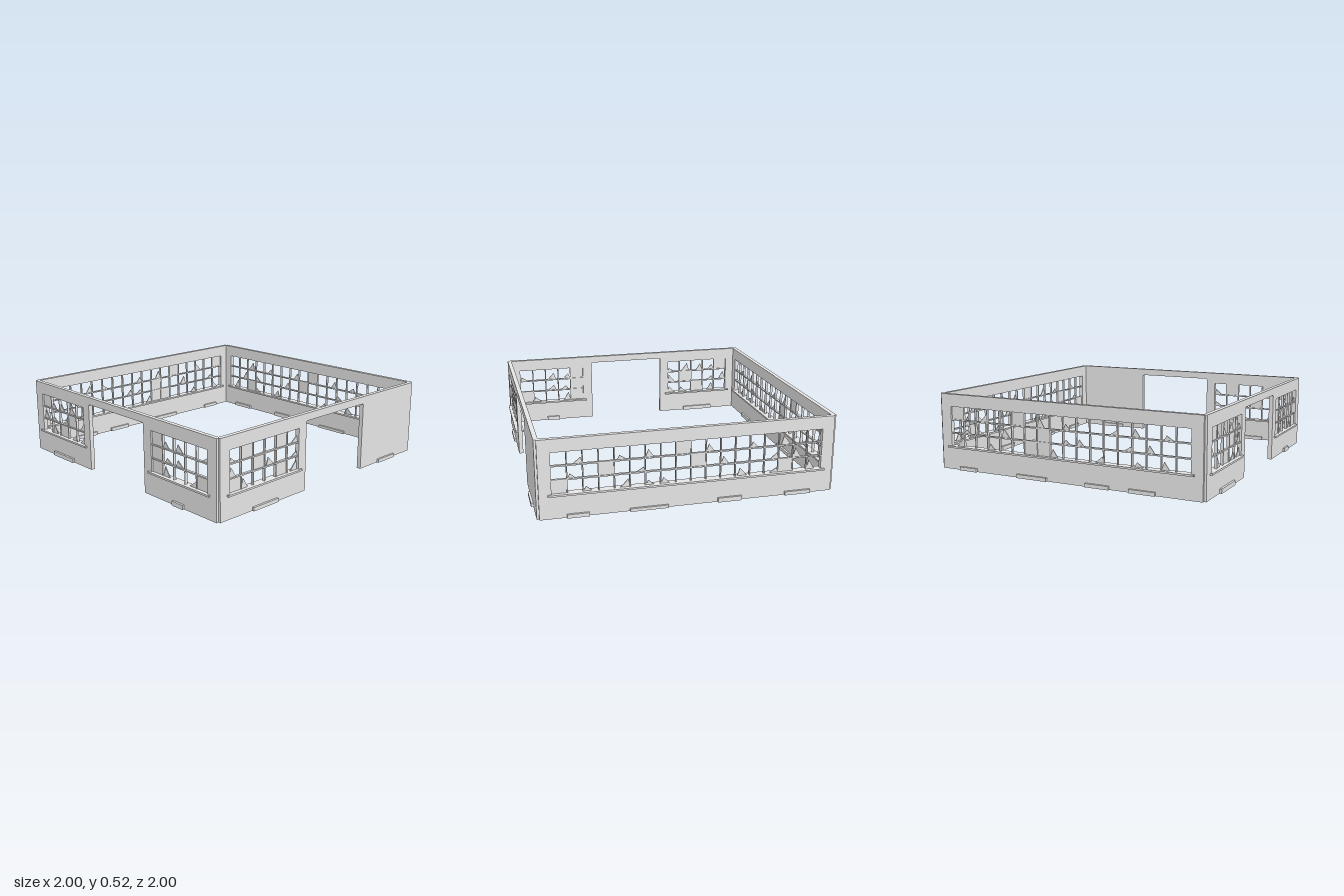
import * as THREE from 'three';

const H = 0.523, OUT = 0.985, T = 0.03, HALF = 0.97, MID = OUT - T / 2;
const SILL = 0.16, HEAD = 0.437, ROWS = 3;

// Each wall is drawn facing +z and then turned into place.
// Pane codes: # whole pane, / \ ^ broken shards (right, left, middle), . empty
const WALLS = [
  { name: 'frontWall', turn: 0, door: [-0.3, 0.295],
    windows: [
      { from: -0.89, to: -0.37, panes: ['#\\\\^/', '\\\\.#/', '.\\#//'] },
      { from: 0.37, to: 0.89, panes: ['#\\^./', '#^^..', '#\\./#'] },
    ],
    skirting: [[-0.755, -0.51, 0.03], [0.58, 0.68, 0.03]] },
  { name: 'leftSideWall', turn: Math.PI / 2, door: [-0.21, 0.385],
    windows: [{ from: -0.89, to: -0.28, panes: ['\\#..#/', '\\.#^./', '#\\..#/'] }],
    skirting: [[-0.7, -0.48, 0.025], [0.58, 0.77, 0.025]] },
  { name: 'backWall', turn: Math.PI,
    windows: [{ from: -0.89, to: 0.89,
      panes: ['./..^.\\.#.\\..\\.^..', '.\\.#./...#.\\../.\\.', '#.\\./.\\\\....^./#.\\'] }],
    skirting: [[-0.8, -0.66, 0.025], [-0.4, -0.15, 0.02], [0.18, 0.34, 0.03], [0.64, 0.82, 0.025]] },
  { name: 'rightSideWall', turn: -Math.PI / 2,
    windows: [{ from: -0.89, to: 0.89,
      panes: ['#./..#.\\.\\../.\\.^.', '.\\..^..#.\\\\../.\\..', '/..\\..##\\../..^.\\.'] }],
    skirting: [[-0.82, -0.68, 0.025], [-0.35, -0.12, 0.025], [0.17, 0.34, 0.025], [0.48, 0.66, 0.025]] },
];

export function createModel() {
  const grey = new THREE.MeshStandardMaterial({ color: 0xe5e5e5 });
  grey.name = 'paleGrey';
  const model = new THREE.Group();
  model.name = 'ruinedBuildingStorey';

  const add = (parent, name, geometry, x, y, z) => {
    const mesh = new THREE.Mesh(geometry, grey);
    mesh.name = name;
    mesh.position.set(x, y, z);
    parent.add(mesh);
  };
  const box = (parent, name, w, h, d, x, y, z) =>
    add(parent, name, new THREE.BoxGeometry(w, h, d), x, y, z);
  const extrude = (shape, depth) =>
    new THREE.ExtrudeGeometry(shape, { depth, bevelEnabled: false });
  const polygon = (points, Type = THREE.Shape) =>
    new Type(points.map(([x, y]) => new THREE.Vector2(x, y)));

  // Broken piece of glass standing on the lower edge of its pane
  const shardShape = (code, w, h, k) => {
    const tall = h * (0.36 + 0.12 * (k % 4));
    if (code === '\\') return polygon([[0, 0], [w * 0.6, 0], [w * 0.2, tall]]);
    if (code === '/') return polygon([[w * 0.35, 0], [w, 0], [w * 0.9, tall]]);
    return polygon([[w * 0.15, 0], [w * 0.85, 0], [w * 0.35, tall]]);
  };

  const addWindow = (parent, { from, to, panes }) => {
    const cols = panes[0].length;
    const w = (to - from) / cols, h = (HEAD - SILL) / ROWS;
    const cx = (from + to) / 2, cy = (SILL + HEAD) / 2;

    // Sill projecting on both sides of the wall
    box(parent, 'windowSill', to - from + 0.05, 0.012, 0.06, cx, SILL - 0.003, MID);

    // Glazing bars
    for (let c = 1; c < cols; c++) {
      box(parent, 'verticalBar', 0.007, HEAD - SILL, 0.018, from + c * w, cy, MID);
    }
    for (let r = 1; r < ROWS; r++) {
      box(parent, 'horizontalBar', to - from, 0.009, 0.018, cx, SILL + r * h, MID);
    }

    // Remaining panes and shards
    panes.forEach((row, r) => {
      for (let c = 0; c < cols; c++) {
        const code = row[c];
        if (code === '.') continue;
        const x = from + c * w, y = HEAD - (r + 1) * h;
        if (code === '#') box(parent, 'pane', w, h, 0.006, x + w / 2, y + h / 2, MID);
        else add(parent, 'glassShard', extrude(shardShape(code, w, h, c + r * 3), 0.006), x, y, MID - 0.003);
      }
    });
  };

  for (const { name, turn, door, windows, skirting } of WALLS) {
    const wall = new THREE.Group();
    wall.name = name;
    wall.rotation.y = turn;
    model.add(wall);

    // Wall slab with doorway notch and window holes
    const outline = [[-HALF, 0]];
    if (door) {
      const [a, b] = door;
      outline.push([a, 0], [a, 0.465], [a + 0.006, 0.472], [b - 0.006, 0.472], [b, 0.465], [b, 0]);
    }
    outline.push([HALF, 0], [HALF, H], [-HALF, H]);
    const shape = polygon(outline);
    for (const { from, to } of windows) {
      shape.holes.push(polygon([[from, SILL], [from, HEAD], [to, HEAD], [to, SILL]], THREE.Path));
    }
    add(wall, 'wallSlab', extrude(shape, T), 0, 0, OUT - T);

    windows.forEach((win) => addWindow(wall, win));

    // Remnants of skirting along the foot of the wall, outside and inside
    for (const [a, b, h] of skirting) {
      box(wall, 'skirtingPiece', b - a, h, 0.06, (a + b) / 2, h / 2, MID);
    }
  }
  return model;
}
